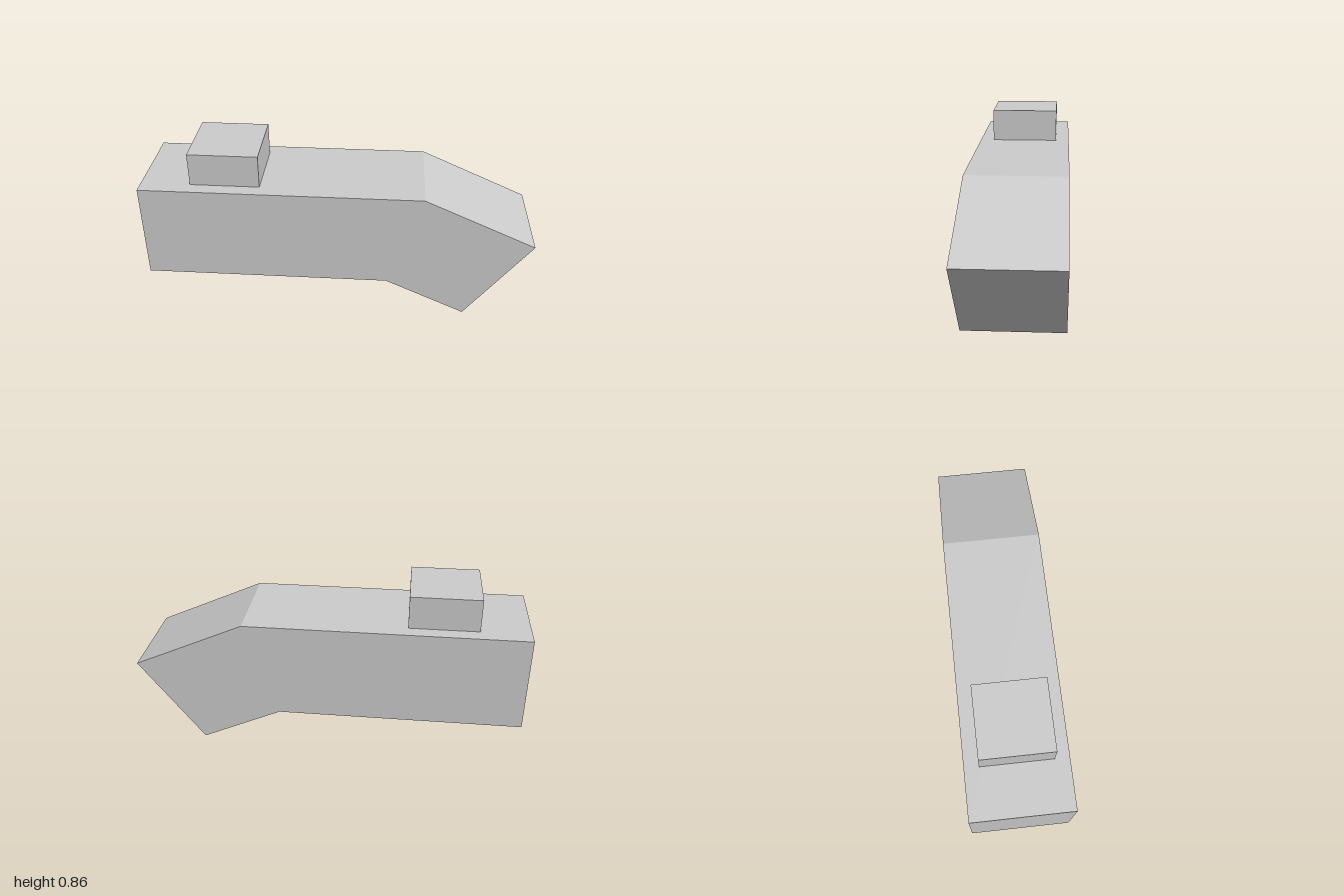
import * as THREE from 'three';

export function createModel() {
  const model = new THREE.Group();
  const material = new THREE.MeshStandardMaterial({ color: 0xcccccc, flatShading: true });
  const depth = 0.506;

  // Bent beam: side profile extruded across the width
  const profile = new THREE.Shape([
    [-1, 0.19], [0.258, 0.19], [0.672, 0], [1, 0.44], [0.435, 0.693], [-1, 0.693],
  ].map(([x, y]) => new THREE.Vector2(x, y)));
  const beamGeometry = new THREE.ExtrudeGeometry(profile, { depth, bevelEnabled: false });
  beamGeometry.translate(0, 0, -depth / 2);
  const beam = new THREE.Mesh(beamGeometry, material);
  beam.name = 'bentBeam';

  // Raised block on the flat top
  const block = new THREE.Mesh(new THREE.BoxGeometry(0.354, 0.171, 0.36), material);
  block.position.set(-0.571, 0.693 + 0.171 / 2, 0);
  block.name = 'topBlock';

  model.add(beam, block);
  return model;
}
